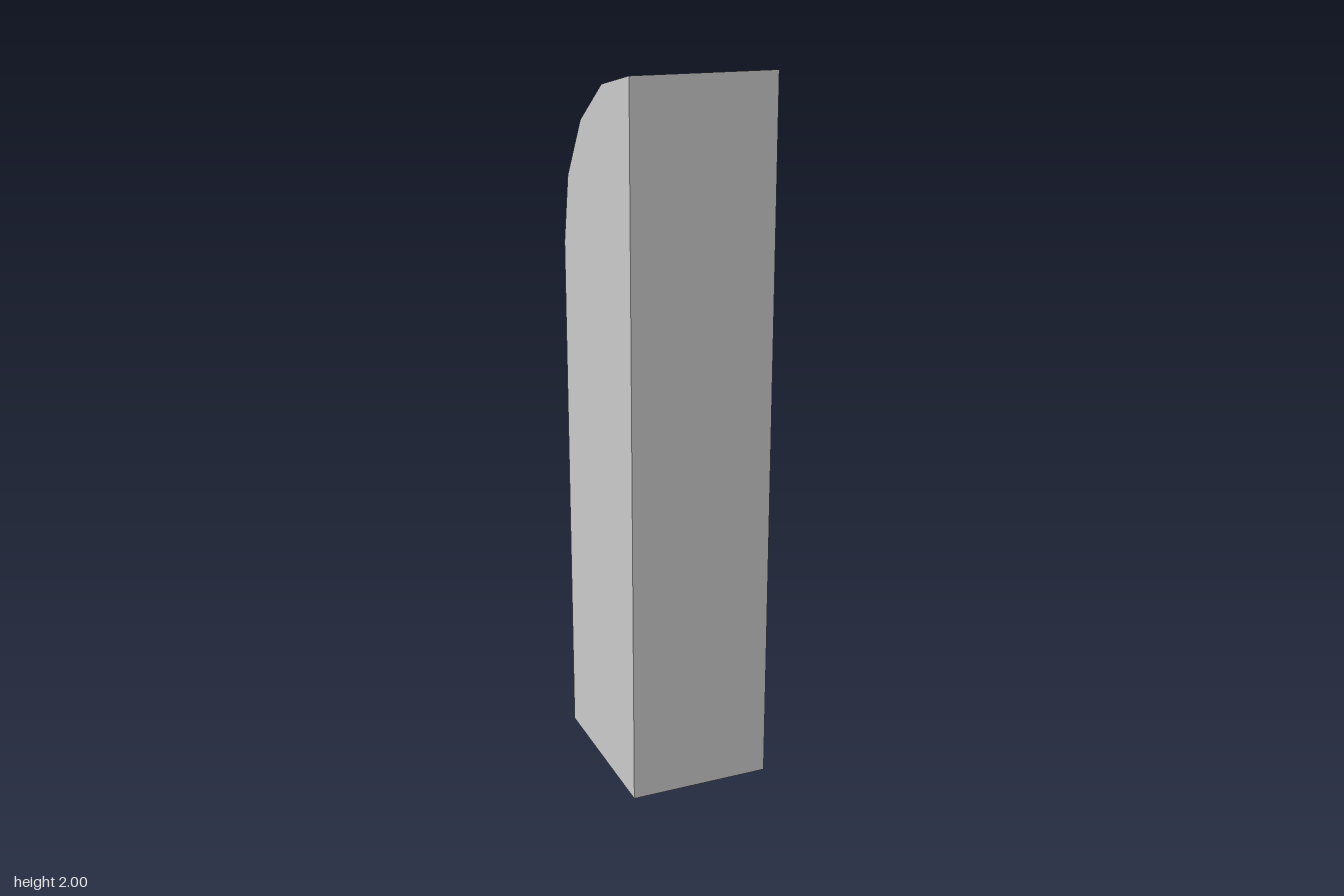
import * as THREE from 'three';

const HALF_WIDTH = 0.203, HALF_DEPTH = 0.25, HEIGHT = 2, RADIUS = 0.5, ARC_STEPS = 4;

// Side outline as (z, y): back foot, up the rounded back, down the front
function sideProfile() {
  const points = [new THREE.Vector2(-HALF_DEPTH, 0)];
  for (let i = 0; i <= ARC_STEPS; i++) {
    const a = (i / ARC_STEPS) * Math.PI / 2;
    points.push(new THREE.Vector2(
      HALF_DEPTH - RADIUS * Math.cos(a),
      HEIGHT - RADIUS + RADIUS * Math.sin(a)
    ));
  }
  points.push(new THREE.Vector2(HALF_DEPTH, 0));
  return points;
}

export function createModel() {
  const group = new THREE.Group();
  group.name = 'roundedBackPillar';
  const material = new THREE.MeshStandardMaterial({
    color: 0xcccccc, flatShading: true, side: THREE.DoubleSide
  });
  const profile = sideProfile();

  function add(name, geometry) {
    const mesh = new THREE.Mesh(geometry, material);
    mesh.name = name;
    group.add(mesh);
  }

  // Back wall, faceted rounded top and front wall: one strip bent along the outline
  const strip = new THREE.PlaneGeometry(2 * HALF_WIDTH, 1, 1, profile.length - 1);
  const position = strip.attributes.position;
  for (let i = 0; i < position.count; i++) {
    const p = profile[Math.floor(i / 2)];
    position.setXYZ(i, position.getX(i), p.y, p.x);
  }
  const shell = strip.toNonIndexed();
  shell.computeVertexNormals();
  add('frontTopAndBackShell', shell);

  // Flat side walls, facing outward; the underside stays open
  for (const side of [-1, 1]) {
    const outline = profile.map(p => new THREE.Vector2(-side * p.x, p.y));
    const wall = new THREE.ShapeGeometry(new THREE.Shape(outline));
    wall.rotateY(side * Math.PI / 2);
    wall.translate(side * HALF_WIDTH, 0, 0);
    add(side > 0 ? 'leftSideWall' : 'rightSideWall', wall);
  }

  return group;
}
